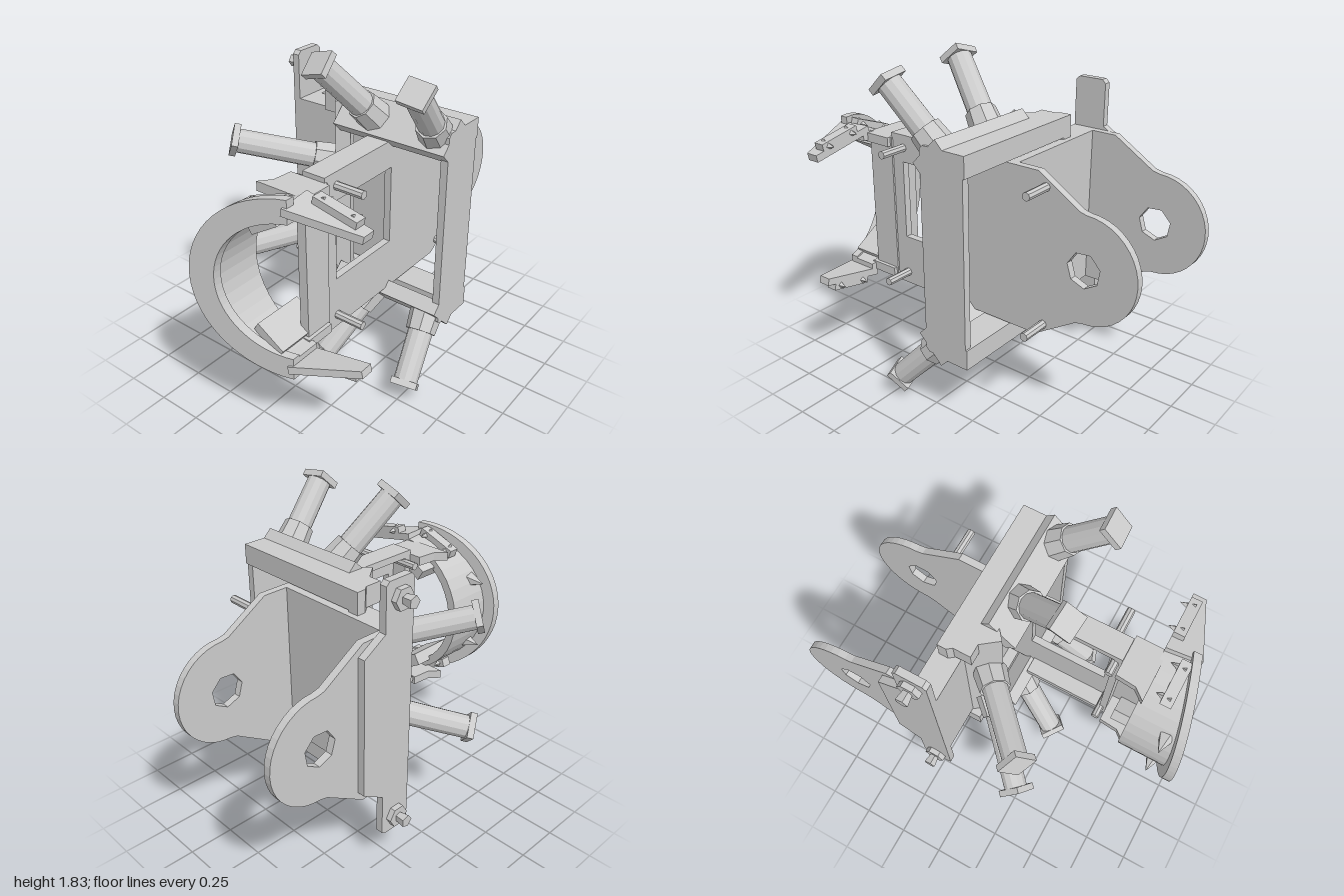
import * as THREE from 'three';

const MID = 0.915; // height of the horizontal symmetry plane

export function createModel() {
  const model = new THREE.Group();
  const mat = new THREE.MeshStandardMaterial({ color: 0xcccccc, flatShading: true, side: THREE.DoubleSide });

  const add = (name, geo) => {
    const mesh = new THREE.Mesh(geo, mat);
    mesh.name = name;
    model.add(mesh);
    return mesh;
  };
  // box given by its limits
  const box = (name, x0, x1, y0, y1, z0, z1) =>
    add(name, new THREE.BoxGeometry(x1 - x0, y1 - y0, z1 - z0)
      .translate((x0 + x1) / 2, (y0 + y1) / 2, (z0 + z1) / 2));
  // the same box above or below the symmetry plane, d = distance from it
  const sideBox = (name, s, x0, x1, d0, d1, z0, z1) =>
    box(name, x0, x1, MID + Math.min(s * d0, s * d1), MID + Math.max(s * d0, s * d1), z0, z1);
  const polygon = pts => new THREE.Shape(pts.map(p => new THREE.Vector2(...p)));
  const extrude = (shape, depth, curveSegments = 10) =>
    new THREE.ExtrudeGeometry(shape, { depth, bevelEnabled: false, curveSegments });
  // upright plate, shape drawn in (-z, y)
  const sidePlate = (name, shape, x0, t) =>
    add(name, extrude(shape, t).rotateY(Math.PI / 2).translate(x0, 0, 0));
  // prism with an (x, z) outline
  const floorPrism = (pts, y0, t) =>
    extrude(polygon(pts.map(([x, z]) => [x, -z])), t).rotateX(-Math.PI / 2).translate(0, y0, 0);

  // ---- U bracket with two rounded ears
  const earShape = front => {
    const s = new THREE.Shape();
    s.moveTo(-front, MID - 0.435);
    s.lineTo(0.45, MID - 0.435);
    s.lineTo(0.68, MID - 0.29);
    s.absarc(0.72, MID, 0.28, -Math.PI / 2, Math.PI / 2, false);
    s.lineTo(0.68, MID + 0.29);
    s.lineTo(0.45, MID + 0.435);
    s.lineTo(-front, MID + 0.435);
    s.closePath();
    const bore = [];
    for (let i = 0; i < 7; i++) {
      const a = i / 7 * Math.PI * 2 + 0.3;
      bore.push(new THREE.Vector2(0.715 + 0.092 * Math.cos(a), MID + 0.092 * Math.sin(a)));
    }
    s.holes.push(new THREE.Path(bore));
    return s;
  };
  const longEar = earShape(0.51);
  longEar.holes.push(polygon([[-0.43, 0.765], [-0.43, 1.2], [0.02, 1.2], [0.02, 0.765]]));
  sidePlate('longSidePlate', longEar, 0.2, 0.04);
  sidePlate('shortSidePlate', earShape(-0.17), -0.49, 0.04);
  box('bracketWall', -0.47, 0.21, MID - 0.435, MID + 0.435, -0.31, -0.17);
  box('frontFlange', 0.11, 0.21, MID - 0.43, MID + 0.43, 0.47, 0.51);

  // ---- mounting strip on the outer side of the short plate
  sidePlate('mountingStrip', polygon([
    [0.17, 0.23], [0.19, 0.215], [0.33, 0.215], [0.35, 0.23], [0.35, 0.46], [0.48, 0.54],
    [0.48, 1.29], [0.35, 1.37], [0.35, 1.6], [0.33, 1.62], [0.19, 1.62], [0.17, 1.6],
  ]), -0.53, 0.04);

  // ---- rectangular frame carrying the struts
  sidePlate('framePost', polygon([
    [0.01, 0.39], [0.03, 0.37], [0.25, 0.37], [0.27, 0.39],
    [0.27, 1.45], [0.25, 1.47], [0.03, 1.47], [0.01, 1.45],
  ]), 0.53, 0.04);
  add('slantedPanel', floorPrism([
    [-0.28, -0.28], [-0.28, -0.23], [-0.12, -0.02], [-0.06, -0.07], [-0.08, -0.13], [-0.22, -0.28],
  ], 0.37, 1.1));

  // ---- strut: collar, rod and square end plate along one axis
  const strut = (base, tip) => {
    const g = new THREE.Group();
    g.name = 'strut';
    const a = new THREE.Vector3(...base), dir = new THREE.Vector3(...tip).sub(a);
    const len = dir.length();
    const piece = (name, geo, y) => {
      const m = new THREE.Mesh(geo, mat);
      m.name = name;
      m.position.y = y;
      g.add(m);
    };
    piece('collar', new THREE.CylinderGeometry(0.08, 0.09, 0.12, 8), 0.04);
    piece('rod', new THREE.CylinderGeometry(0.064, 0.068, len, 12), len / 2);
    piece('endPlate', new THREE.BoxGeometry(0.14, 0.035, 0.13), len);
    g.position.copy(a);
    g.quaternion.setFromUnitVectors(new THREE.Vector3(0, 1, 0), dir.normalize());
    model.add(g);
  };

  // bolt along x
  const bolt = (x, y, z, dir) => {
    add('boltWasher', new THREE.CylinderGeometry(0.06, 0.06, 0.03, 6).rotateZ(Math.PI / 2).translate(x, y, z));
    add('boltHead', new THREE.CylinderGeometry(0.035, 0.025, 0.06, 5).rotateZ(Math.PI / 2).translate(x + dir * 0.04, y, z));
  };

  // ---- everything mirrored above and below the middle
  for (const s of [1, -1]) {
    const Y = d => MID + s * d;
    sideBox('frameRail', s, -0.26, 0.57, 0.445, 0.555, -0.28, -0.11);
    sideBox('plateLip', s, 0.11, 0.21, 0.395, 0.435, 0, 0.51);

    const pad = add('strutPad', new THREE.BoxGeometry(0.66, 0.08, 0.2));
    pad.position.set(0.24, Y(0.5), -0.065);
    pad.rotation.x = s * Math.PI / 4;

    strut([0.11, Y(0.53), -0.04], [-0.005, Y(0.84), 0.24]);
    strut([0.475, Y(0.53), -0.04], [0.525, Y(0.81), 0.22]);
    strut([-0.18, Y(0.2), -0.06], [-0.55, Y(0.33), 0.29]);

    bolt(-0.545, Y(0.61), -0.26, -1);

    // stand-off pins through the long plate
    for (const [x0, x1, z] of [[0.2, 0.4, -0.495], [0.2, 0.4, 0.425], [0.04, 0.22, 0.475]])
      add('standoffPin', new THREE.CylinderGeometry(0.022, 0.022, x1 - x0, 8)
        .rotateZ(Math.PI / 2).translate((x0 + x1) / 2, Y(0.365), z));

    // gusset joining the housing to its mount
    const gusset = add('gusset', new THREE.BoxGeometry(0.18, 0.07, 0.28));
    gusset.position.set(0.15, Y(0.32), 0.7);
    gusset.rotation.z = s * 0.55;
    add('mountCheek', floorPrism([
      [0.04, 0.51], [0.27, 0.51], [0.27, 0.68], [-0.02, 0.68], [0.03, 0.62],
    ], s > 0 ? Y(0.36) : Y(0.41), 0.05));

    // wedge arm sloping toward the middle
    const arm = add('wedgeArm', floorPrism([
      [-0.04, 0.66], [0.33, 0.66], [0.33, 0.73], [-0.02, 0.85],
    ], -0.02, 0.04));
    arm.position.set(0.3, Y(0.42), 0);
    arm.rotation.z = -s * 0.2;

    // clamp bars with pointed screws
    for (const [x, d, z, tilt] of [[0.46, 0.42, 0.69, -0.2], [0.14, 0.4, 0.785, 0.35]]) {
      const g = new THREE.Group();
      g.name = 'clampBar';
      const bar = new THREE.Mesh(new THREE.BoxGeometry(0.24, 0.05, 0.06), mat);
      bar.name = 'bar';
      g.add(bar);
      for (const dx of [-0.08, 0.08]) {
        const screw = new THREE.Mesh(new THREE.ConeGeometry(0.035, 0.08, 4), mat);
        screw.name = 'screw';
        screw.position.set(dx, 0, -0.03);
        screw.rotation.x = -Math.PI / 2;
        g.add(screw);
      }
      g.position.set(x, Y(d), z);
      g.rotation.z = s * tilt;
      model.add(g);
    }
    add('housingScrew', new THREE.ConeGeometry(0.045, 0.1, 5).rotateZ(Math.PI / 2)
      .translate(-0.1, Y(0.2), 0.86));
  }

  // ---- half-round housing, cut by a tilted plane and closed by a tilted ring
  const halfRing = (outer, inner) => {
    const s = new THREE.Shape();
    s.absarc(0, 0, outer, Math.PI / 2, Math.PI * 1.5, false);
    s.absarc(0, 0, inner, Math.PI * 1.5, Math.PI / 2, true);
    s.closePath();
    return s;
  };
  const tilt = (geo, fromZ) => {
    const p = geo.attributes.position;
    for (let i = 0; i < p.count; i++)
      if (p.getZ(i) > fromZ) p.setZ(i, p.getZ(i) - 0.33 * (p.getX(i) + 0.18));
    geo.computeVertexNormals();
    return geo;
  };
  add('frontRing', tilt(extrude(halfRing(0.48, 0.36), 0.045, 16).translate(0.3, MID, 0.945), 0));
  add('housing', tilt(extrude(halfRing(0.42, 0.37), 0.3, 10).translate(0.3, MID, 0.66), 0.7));
  box('housingMount', 0.2, 0.25, MID - 0.41, MID + 0.41, 0.5, 0.66);

  return model;
}
